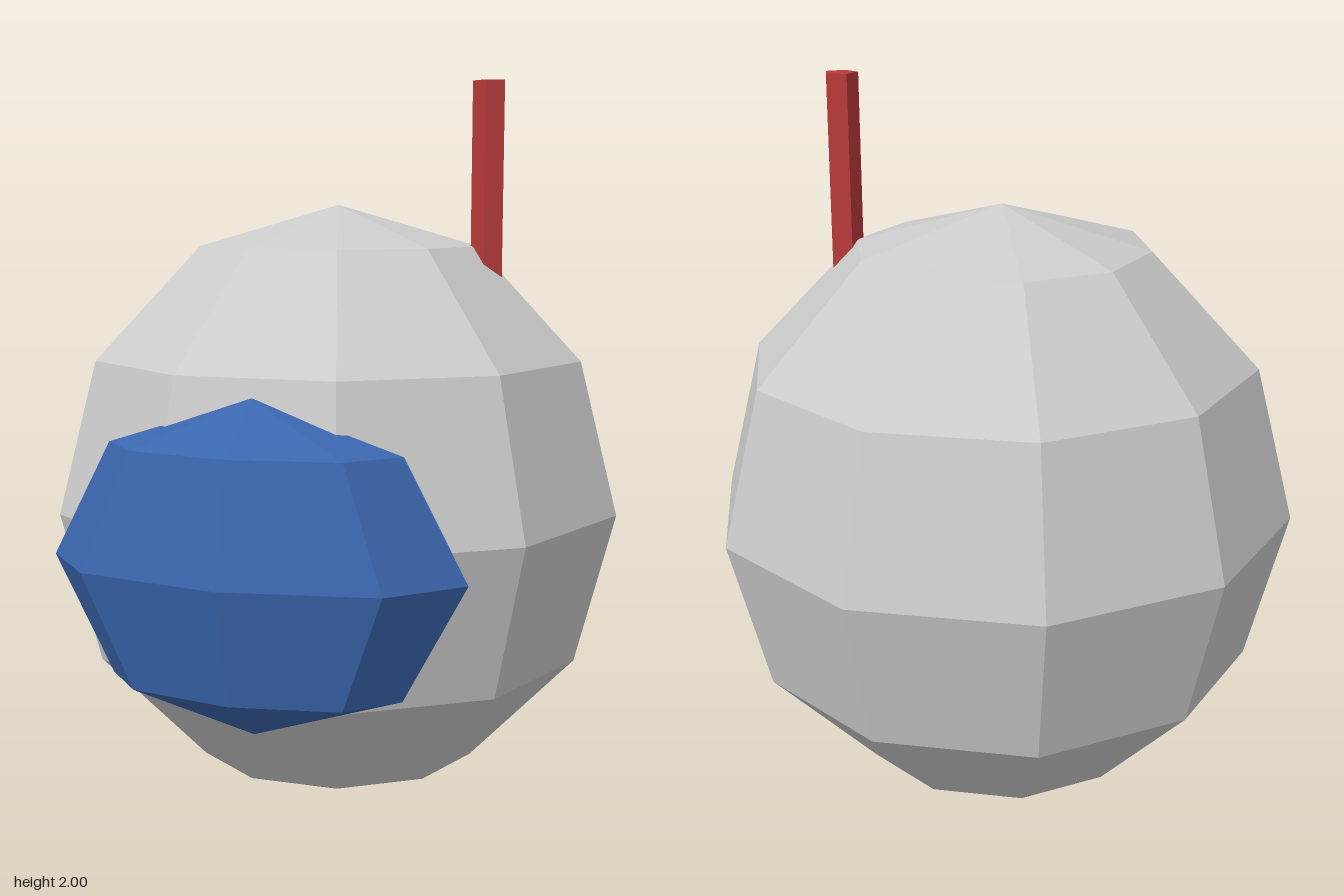
import * as THREE from 'three';

function addPart(group, name, geometry, color, position, scale = [1, 1, 1]) {
  const material = new THREE.MeshStandardMaterial({ color, flatShading: true });
  const mesh = new THREE.Mesh(geometry, material);
  mesh.name = name;
  mesh.position.set(...position);
  mesh.scale.set(...scale);
  group.add(mesh);
}

export function createModel() {
  const group = new THREE.Group();
  group.name = 'helmet';

  // Faceted round shell, slightly taller than wide
  addPart(group, 'shell', new THREE.SphereGeometry(1, 10, 6), 0xcccccc, [0, 0.835, -0.08], [0.797, 0.835, 0.8]);

  // Flattened faceted visor set into the front
  addPart(group, 'visor', new THREE.SphereGeometry(1, 8, 4), 0x3a66ad, [0, 0.777, 0.592], [0.55, 0.428, 0.245]);

  // Five-sided antenna on the left, its foot sunk into the shell
  addPart(group, 'antenna', new THREE.CylinderGeometry(0.046, 0.046, 0.7, 5), 0xb83a3a, [0.428, 1.65, -0.08]);

  return group;
}
